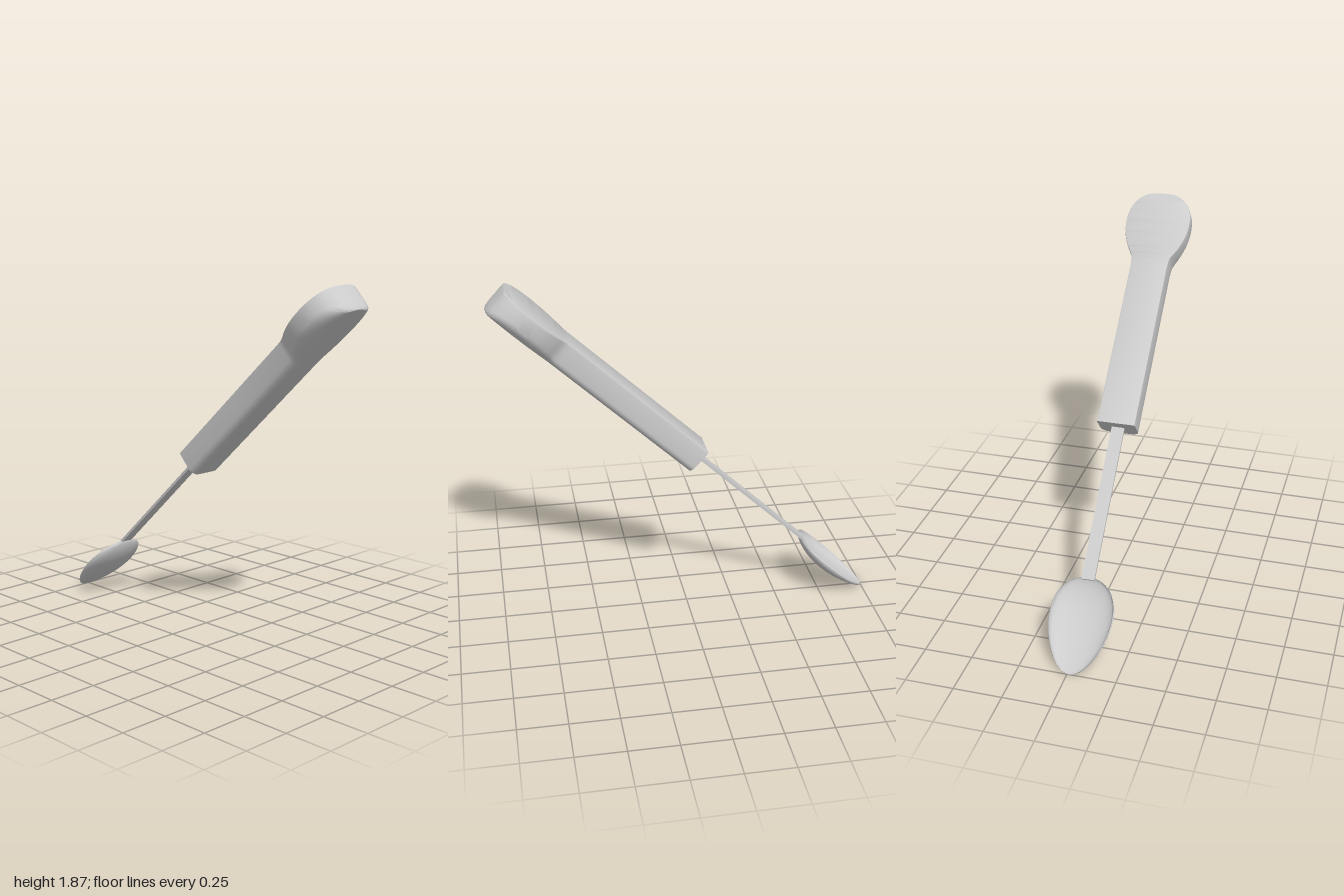
import * as THREE from 'three';
import { toCreasedNormals } from 'three/addons/utils/BufferGeometryUtils.js';

const material = new THREE.MeshStandardMaterial({ color: 0xcccccc, side: THREE.DoubleSide });

// Skins closed rings of [x, y, z] set out along +x and caps both ends.
function loft(rings, crease) {
  const n = rings[0].length, index = [];
  const points = rings.flat();
  rings.slice(1).forEach((_, i) => {
    for (let j = 0; j < n; j++) {
      const k = (j + 1) % n, a = i * n + j, b = i * n + k;
      index.push(a, b, b + n, a, b + n, a + n);
    }
  });
  [0, rings.length - 1].forEach((r) => {
    const centre = points.length;
    points.push([0, 1, 2].map((c) => rings[r].reduce((sum, p) => sum + p[c], 0) / n));
    for (let j = 0; j < n; j++) {
      const a = r * n + j, b = r * n + (j + 1) % n;
      index.push(centre, r ? a : b, r ? b : a);
    }
  });
  const geometry = new THREE.BufferGeometry();
  geometry.setAttribute('position', new THREE.Float32BufferAttribute(points.flat(), 3));
  geometry.setIndex(index);
  return toCreasedNormals(geometry, crease);
}

// Egg-shaped shallow shell, pointed at the free end
function bowlGeometry() {
  const length = 0.495, steps = 40, across = 24, rings = [];
  for (let i = 0; i <= steps; i++) {
    const t = 0.02 + (Math.PI - 0.04) * i / steps;
    const s = Math.sin(t - 0.22 * Math.sin(t));
    const x = length * (1 - Math.cos(t)) / 2;
    const half = 0.166 * s, depth = 0.06 * Math.pow(s, 1.5);
    const ring = [];
    for (let j = 0; j <= across; j++) { // hollow inside
      const a = Math.PI * j / across;
      ring.push([x, 0.005 - depth * 0.9 * Math.sin(a), -half * 0.975 * Math.cos(a)]);
    }
    for (let j = 0; j <= across; j++) { // outside
      const a = Math.PI * j / across;
      ring.push([x, -depth * Math.sin(a), half * Math.cos(a)]);
    }
    rings.push(ring);
  }
  return loft(rings, 0.7);
}

// Flat-topped grip section with rounded lower corners, deeper rounding in the wide head
function gripRing(x, half) {
  const top = 0.076, bottom = -0.07, bevel = 0.008;
  const k = THREE.MathUtils.clamp((half - 0.1) / 0.078, 0, 1);
  const rw = Math.min(0.045 + 0.08 * k, half * 0.8), rv = 0.04 + 0.035 * k;
  const side = [[top, half - bevel], [top - 0.003, half - 0.002], [top - 0.012, half]];
  for (let j = 0; j <= 8; j++) {
    const a = Math.PI / 2 * j / 8;
    side.push([bottom + rv * (1 - Math.sin(a)), half - rw * (1 - Math.cos(a))]);
  }
  // the arc runs from the wall down to the underside
  for (let j = 0; j <= 8; j++) {
    const a = Math.PI / 2 * j / 8;
    side[3 + j] = [bottom + rv * (1 - Math.sin(a)), half - rw * (1 - Math.cos(a))];
  }
  const mirrored = side.map(([y, z]) => [y, -z]).reverse();
  return [...side, ...mirrored].map(([y, z]) => [x, y, z]);
}

function gripGeometry() {
  // half-widths of the head, from neck to blunt end
  const head = new THREE.CatmullRomCurve3([
    [2.22, 0.102], [2.27, 0.108], [2.33, 0.14], [2.4, 0.167], [2.48, 0.178],
    [2.55, 0.171], [2.61, 0.143], [2.645, 0.105], [2.66, 0.07], [2.665, 0.03],
  ].map(([x, h]) => new THREE.Vector3(x, h, 0)));
  const rings = [gripRing(1.3, 0.102), gripRing(1.8, 0.102)];
  head.getPoints(45).forEach((p) => rings.push(gripRing(p.x, p.y)));
  return loft(rings, 0.6);
}

export function createModel() {
  const model = new THREE.Group();
  const spoon = new THREE.Group();
  spoon.name = 'spoon';
  const add = (name, geometry) => {
    const mesh = new THREE.Mesh(geometry, material);
    mesh.name = name;
    spoon.add(mesh);
    return mesh;
  };

  add('bowl', bowlGeometry()).position.z = 0.01;

  // Flat metal strip joining bowl and grip
  const stem = add('stem', new THREE.BoxGeometry(0.85, 0.014, 0.068));
  stem.position.set(0.905, 0.007, 0.005);
  stem.rotation.set(0, 0.007, 0.008);

  add('grip', gripGeometry());

  // Whole utensil leans up from the bowl tip
  spoon.rotation.z = THREE.MathUtils.degToRad(42.9);
  spoon.position.set(-1, 0, 0);
  model.add(spoon);
  return model;
}
